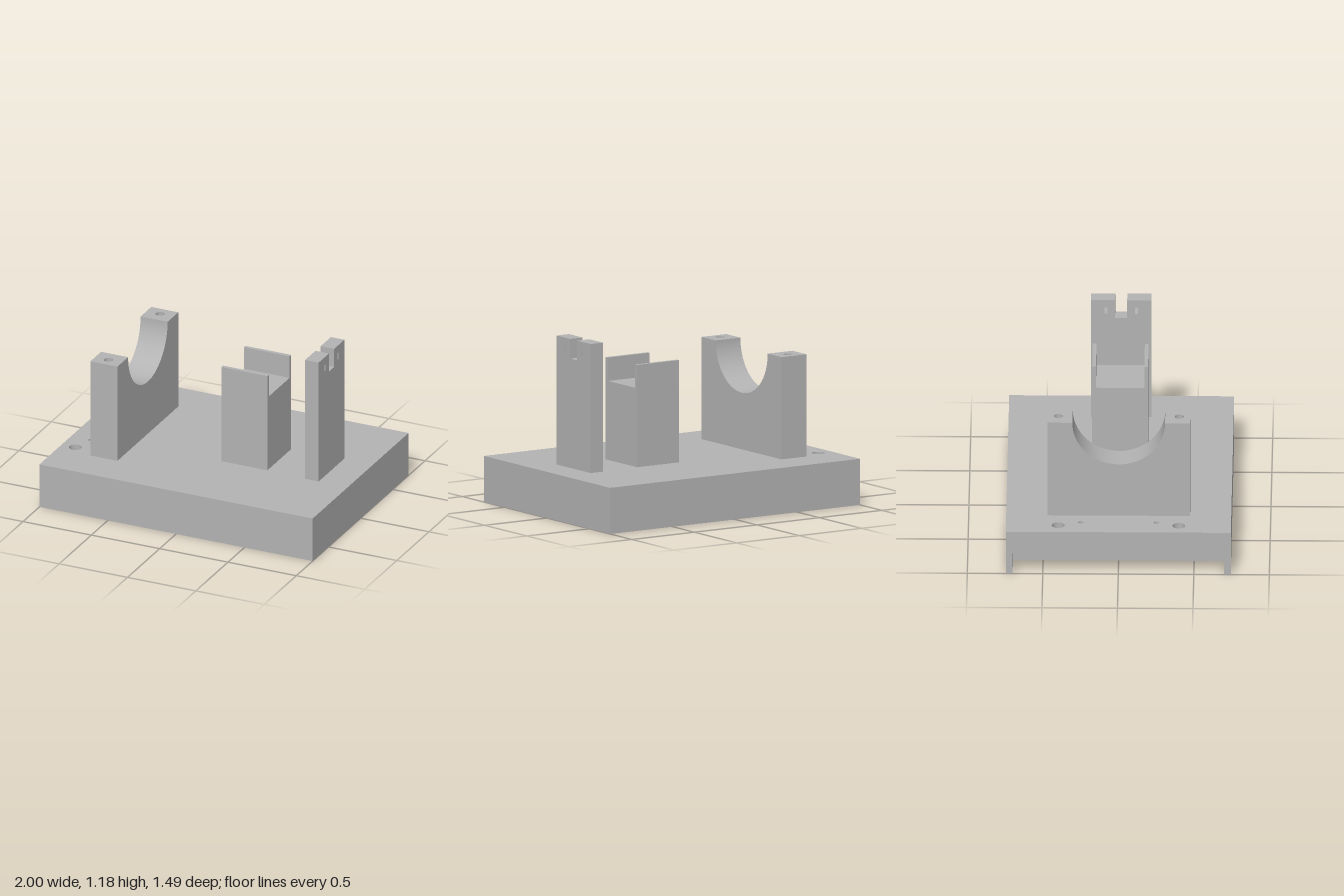
import * as THREE from 'three';
import { toCreasedNormals } from 'three/addons/utils/BufferGeometryUtils.js';

const BASE_TOP = 0.31, SADDLE_TOP = 0.997;

export function createModel() {
  const model = new THREE.Group();
  const grey = new THREE.MeshStandardMaterial({ color: 0xb3b3b3 });
  grey.name = 'plain grey';

  const add = (name, geometry, parent = model) => {
    const mesh = new THREE.Mesh(geometry, grey);
    mesh.name = name;
    parent.add(mesh);
    return mesh;
  };
  const polygon = (pts) => new THREE.Shape(pts.map(([x, y]) => new THREE.Vector2(x, y)));
  const rect = (x0, y0, x1, y1) => polygon([[x0, y0], [x1, y0], [x1, y1], [x0, y1]]);
  const circle = (x, y, r) => new THREE.Path().absarc(x, y, r, 0, Math.PI * 2);
  const extrude = (shape, depth) => toCreasedNormals(
    new THREE.ExtrudeGeometry(shape, { depth, bevelEnabled: false, curveSegments: 32 }), 0.5);
  // plan outline (x, z) raised from y0 to y1
  const extrudeUp = (shape, y0, y1) =>
    extrude(shape, y1 - y0).rotateX(-Math.PI / 2).translate(0, y0, 0);
  // side profile (z, y) run from x0 to x1
  const extrudeAcross = (shape, x0, x1) =>
    extrude(shape, x1 - x0).rotateY(Math.PI / 2).translate(x0, 0, 0);

  // Base: layered so that recesses, end notch and bolt holes stay open
  const base = new THREE.Group();
  base.name = 'base';
  model.add(base);
  const W = 0.745, notchX = -0.8, notchZ = 0.7, notchTop = 0.15;
  const notched = () => polygon([
    [1, -W], [1, W], [-1, W], [-1, notchZ], [notchX, notchZ],
    [notchX, -notchZ], [-1, -notchZ], [-1, -W]]);
  const footLayer = notched();
  for (const x of [0.89, -0.66]) for (const z of [-0.63, 0.63])
    footLayer.holes.push(circle(x, z, 0.085));
  add('footRecessLayer', extrudeUp(footLayer, 0, 0.03), base);
  add('lowerBase', extrudeUp(notched(), 0.03, notchTop), base);
  const drilled = (boltRadius) => {
    const plate = rect(-1, -W, 1, W);
    for (const s of [-1, 1])
      plate.holes.push(circle(-0.9, s * 0.4, boltRadius), circle(-0.855, s * 0.25, 0.017));
    return plate;
  };
  add('upperBase', extrudeUp(drilled(0.024), notchTop, 0.26), base);
  add('counterboreLayer', extrudeUp(drilled(0.042), 0.26, BASE_TOP), base);

  // Saddle: block with a half-round cradle
  const saddle = new THREE.Group();
  saddle.name = 'saddle';
  model.add(saddle);
  const sx0 = -0.755, sx1 = -0.557, sz = 0.473, r = 0.307;
  const profile = polygon([[-sz, BASE_TOP], [sz, BASE_TOP], [sz, SADDLE_TOP], [r, SADDLE_TOP]]);
  profile.absarc(0, SADDLE_TOP, r, 0, -Math.PI, true);
  profile.lineTo(-sz, SADDLE_TOP);
  // leave the arm tops open, to be closed by drilled faces
  const solid = extrudeAcross(profile, sx0, sx1);
  const p = solid.attributes.position, keep = [];
  for (let i = 0; i < p.count; i += 3) {
    const flatTop = [0, 1, 2].every((k) => p.getY(i + k) > SADDLE_TOP - 1e-4);
    if (!flatTop) keep.push(i, i + 1, i + 2);
  }
  solid.setIndex(keep);
  solid.clearGroups();
  add('cradleBlock', solid, saddle);

  const holeR = 0.03, holeDepth = 0.12, holeX = (sx0 + sx1) / 2;
  for (const s of [-1, 1]) {
    const face = rect(sx0, Math.min(s * r, s * sz), sx1, Math.max(s * r, s * sz));
    face.holes.push(circle(holeX, s * 0.4, holeR));
    add('armTop', new THREE.ShapeGeometry(face, 24)
      .rotateX(-Math.PI / 2).translate(0, SADDLE_TOP, 0), saddle);
    // bore wall faces inward
    const bore = new THREE.LatheGeometry(
      [new THREE.Vector2(holeR, 0), new THREE.Vector2(holeR, -holeDepth),
        new THREE.Vector2(0, -holeDepth)], 48);
    add('screwHole', toCreasedNormals(bore, 0.5)
      .translate(holeX, SADDLE_TOP, s * 0.4), saddle);
  }

  // Channel block: thin cheeks either side of a shallow trough
  const cz = 0.185, iz = 0.16, floor = 0.84;
  add('channelBlock', extrudeAcross(polygon([
    [-cz, BASE_TOP], [cz, BASE_TOP], [cz, SADDLE_TOP], [iz, SADDLE_TOP],
    [iz, floor], [-iz, floor], [-iz, SADDLE_TOP], [-cz, SADDLE_TOP]]), 0.07, 0.405));

  // Notched post with two slots through it
  const pz = 0.2, gap = 0.04, postTop = 1.177, gapFloor = 1.045;
  const post = polygon([
    [-pz, BASE_TOP], [pz, BASE_TOP], [pz, postTop], [gap, postTop],
    [gap, gapFloor], [-gap, gapFloor], [-gap, postTop], [-pz, postTop]]);
  for (const z of [-0.1, 0.1]) post.holes.push(rect(z - 0.01, 1.077, z + 0.01, 1.122));
  add('notchedPost', extrudeAcross(post, 0.688, 0.787));

  return model;
}
